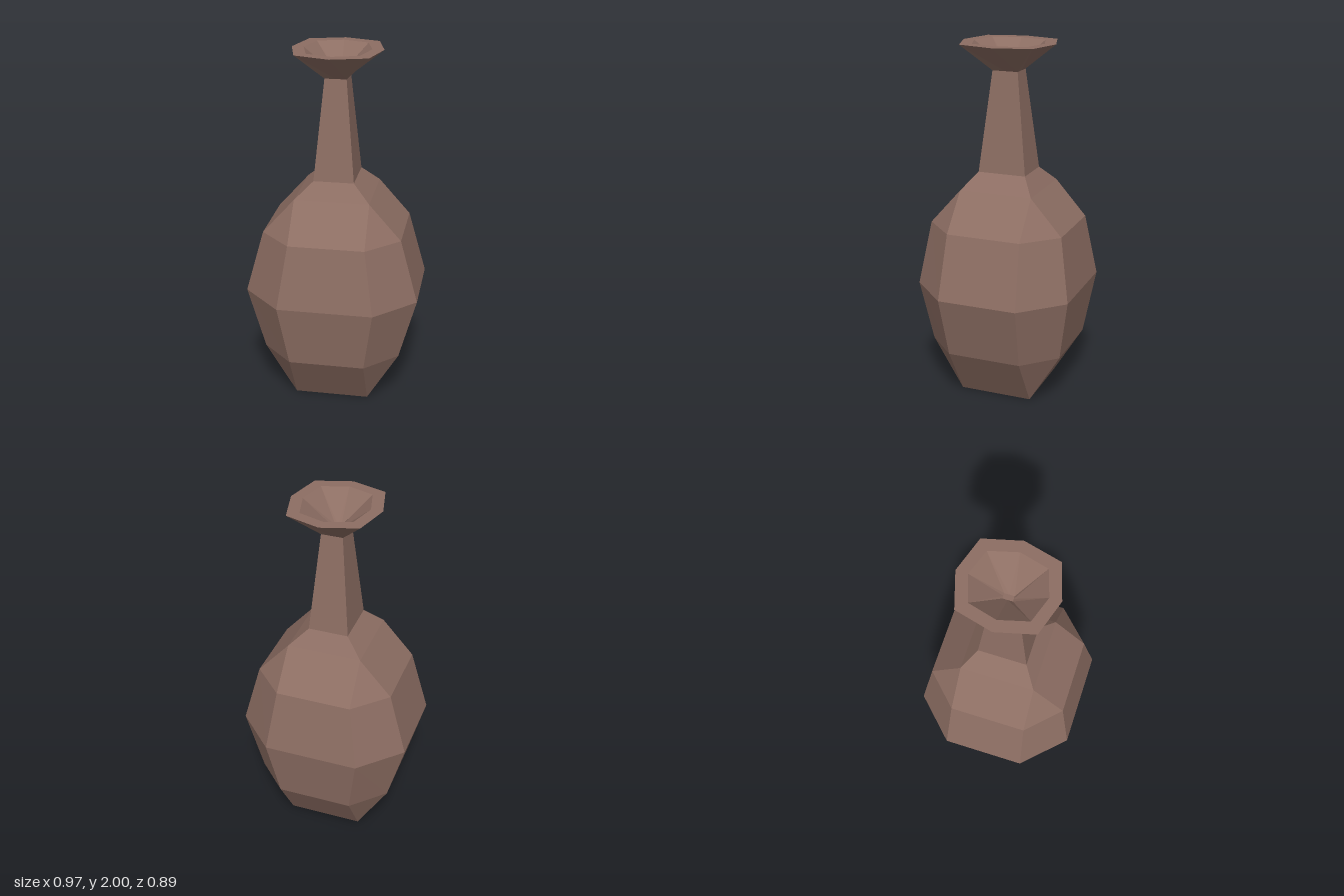
import * as THREE from 'three';

// Eight-point ring with two points per corner: (a, b) on the sides, (c, d) on front and back
const pairRing = (y, a, b, c = a, d = b) =>
  [[a, b], [c, d], [-c, d], [-a, b], [-a, -b], [-c, -d], [c, -d], [a, -b]]
    .map(([x, z]) => new THREE.Vector3(x, y, z));

// Eight-point ring with corners (cx, cz) and side midpoints mx, mz
const midRing = (y, cx, cz, mx = cx, mz = cz) =>
  [[mx, 0], [cx, cz], [0, mz], [-cx, cz], [-mx, 0], [-cx, -cz], [0, -mz], [cx, -cz]]
    .map(([x, z]) => new THREE.Vector3(x, y, z));

// Joins successive rings with flat faces, skipping collapsed triangles
function loft(rings) {
  const pos = [];
  const tri = (a, b, c) => {
    if (a.equals(b) || b.equals(c) || c.equals(a)) return;
    for (const p of [a, b, c]) pos.push(p.x, p.y, p.z);
  };
  for (let r = 0; r < rings.length - 1; r++) {
    const lo = rings[r], hi = rings[r + 1];
    for (let i = 0; i < lo.length; i++) {
      const j = (i + 1) % lo.length;
      tri(lo[i], hi[i], hi[j]);
      tri(lo[i], hi[j], lo[j]);
    }
  }
  const geo = new THREE.BufferGeometry();
  geo.setAttribute('position', new THREE.Float32BufferAttribute(pos, 3));
  geo.computeVertexNormals();
  return geo;
}

export function createModel() {
  const group = new THREE.Group();
  group.name = 'vase';
  const clay = new THREE.MeshStandardMaterial({ color: 0x8d6e63, flatShading: true });
  clay.name = 'brown clay';

  const add = (name, rings) => {
    const mesh = new THREE.Mesh(loft(rings), clay);
    mesh.name = name;
    group.add(mesh);
  };

  // Faceted belly with a square base and shoulder
  add('body', [
    pairRing(0, 0, 0),
    pairRing(0, 0.208, 0.208),
    pairRing(0.29, 0.385, 0.21, 0.21, 0.385),
    pairRing(0.645, 0.483, 0.225, 0.264, 0.445),
    pairRing(1.0, 0.385, 0.21, 0.21, 0.385),
    pairRing(1.2, 0.208, 0.208),
    pairRing(1.29, 0.112, 0.137),
  ]);

  // Tapering rectangular neck
  add('neck', [
    pairRing(1.29, 0.112, 0.137),
    pairRing(1.85, 0.06, 0.073),
  ]);

  // Flared mouth: outside, flat lip, funnel and its small floor
  add('mouth', [
    midRing(1.85, 0.06, 0.073),
    midRing(2, 0.197, 0.207, 0.25, 0.268),
    midRing(2, 0.143, 0.157, 0.185, 0.204),
    midRing(1.86, 0.015, 0.027),
    midRing(1.86, 0, 0),
  ]);

  return group;
}
